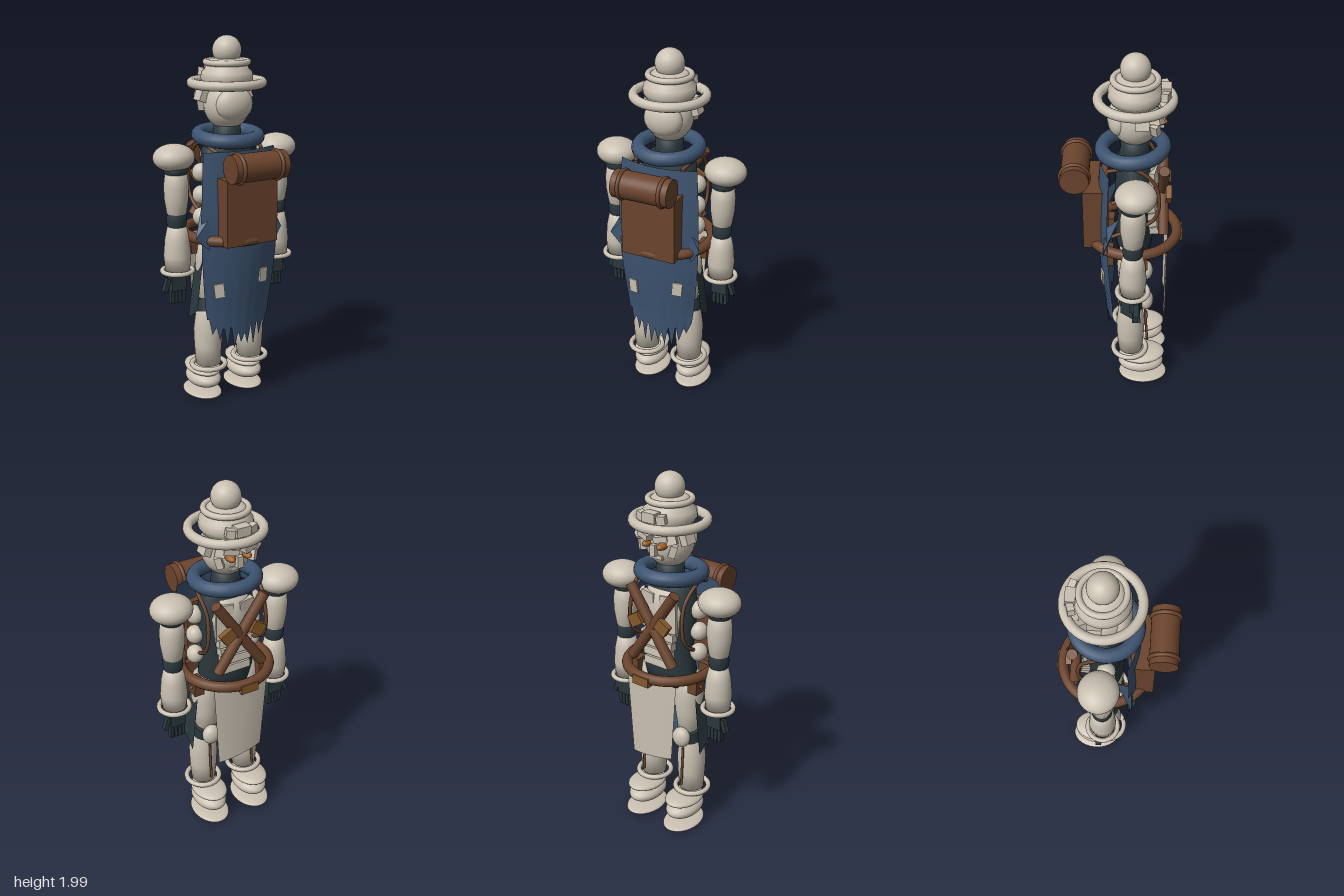
import * as THREE from 'three';
import { ConvexGeometry } from 'three/addons/geometries/ConvexGeometry.js';

const mat = (name, color) => {
  const m = new THREE.MeshStandardMaterial({ color, side: THREE.DoubleSide });
  m.name = name;
  return m;
};

export function createModel() {
  const root = new THREE.Group();
  const bone = mat('bone', 0xc9c0b1), blue = mat('clothBlue', 0x3d5471), dark = mat('darkCloth', 0x2b383d);
  const brown = mat('leather', 0x6b442d), tan = mat('buckleTan', 0x85592c), amber = mat('amber', 0xa0622a);
  const AZ = -0.065; // body axis

  const add = (name, geo, m, p = [0, 0, 0], r = [0, 0, 0], s = [1, 1, 1]) => {
    const mesh = new THREE.Mesh(geo, m);
    mesh.name = name;
    mesh.position.set(...p); mesh.rotation.set(...r); mesh.scale.set(...s);
    root.add(mesh);
    return mesh;
  };
  const ball = (name, m, p, s, r) => add(name, new THREE.SphereGeometry(1, 28, 18), m, p, r, s);
  const box = (name, m, p, s, r) => add(name, new THREE.BoxGeometry(...s), m, p, r);
  const ring = (name, m, p, R, t, tilt = 0) =>
    add(name, new THREE.TorusGeometry(R, t, 14, 40), m, p, [Math.PI / 2 + tilt, 0, 0]);
  const lathe = (name, m, p, pts, s) =>
    add(name, new THREE.LatheGeometry(pts.map(q => new THREE.Vector2(...q)), 28), m, p, [0, 0, 0], s);
  const rod = (name, m, a, b, r) => {
    const A = new THREE.Vector3(...a), B = new THREE.Vector3(...b);
    const mesh = add(name, new THREE.CylinderGeometry(r, r, A.distanceTo(B), 16), m, A.clone().add(B).multiplyScalar(0.5).toArray());
    mesh.quaternion.setFromUnitVectors(new THREE.Vector3(0, 1, 0), B.sub(A).normalize());
  };
  const tube = (name, m, pts, r) =>
    add(name, new THREE.TubeGeometry(new THREE.CatmullRomCurve3(pts.map(q => new THREE.Vector3(...q))), 24, r, 8), m);
  // Sheet bent by a rule f(u, v, column, lastRow) -> [x, y, z]
  const sheet = (name, m, cols, rows, f) => {
    const g = new THREE.PlaneGeometry(1, 1, cols, rows), p = g.attributes.position;
    for (let i = 0; i < p.count; i++) {
      const row = Math.floor(i / (cols + 1));
      p.setXYZ(i, ...f(p.getX(i) * 2, row / rows, i % (cols + 1), row === rows));
    }
    g.computeVertexNormals();
    return add(name, g, m);
  };

  // Hat
  ball('hatPompom', bone, [0, 1.925, AZ], [0.076, 0.076, 0.076]);
  ring('hatTopRing', bone, [0, 1.865, AZ], 0.11, 0.016);
  lathe('hatCrown', bone, [0, 0, AZ], [[0, 1.89], [0.08, 1.885], [0.108, 1.86], [0.115, 1.83], [0.134, 1.815], [0.137, 1.78], [0.122, 1.75], [0, 1.74]]);
  ring('hatBrim', bone, [0, 1.76, AZ], 0.185, 0.025);
  box('hatBadge', bone, [0, 1.81, -0.215], [0.075, 0.05, 0.05]);

  // Head and face
  ball('head', bone, [0, 1.65, AZ], [0.125, 0.135, 0.125]);
  ball('headBack', bone, [0, 1.655, 0.012], [0.105, 0.09, 0.062]);
  box('nose', bone, [0, 1.635, -0.195], [0.03, 0.06, 0.03]);
  box('mouthPlate', bone, [0, 1.595, -0.165], [0.08, 0.02, 0.04]);
  for (const s of [-1, 1]) {
    box('hatBadgeWing', bone, [s * 0.06, 1.805, -0.21], [0.045, 0.042, 0.035], [0, s * -0.3, s * 0.15]);
    box('brow', bone, [s * 0.05, 1.705, -0.2], [0.075, 0.03, 0.04], [0, s * -0.25, s * 0.2]);
    ball('eye', amber, [s * 0.045, 1.66, -0.185], [0.022, 0.018, 0.04]);
    box('fringeTuft', bone, [s * 0.09, 1.7, -0.17], [0.05, 0.05, 0.06], [0.3, s * -0.5, s * 0.4]);
    box('cheekTuft', bone, [s * 0.09, 1.64, -0.16], [0.035, 0.06, 0.05], [0, s * -0.6, s * -0.3]);
    box('sideTuft', bone, [s * 0.13, 1.705, -0.1], [0.04, 0.08, 0.07], [0, 0, s * 0.35]);
  }
  lathe('neck', dark, [0, 0, AZ], [[0.09, 1.4], [0.075, 1.48], [0.07, 1.56], [0, 1.57]]);
  ring('scarf', blue, [0, 1.485, AZ + 0.01], 0.156, 0.038, 0.06);

  // Torso with layered chest plates
  lathe('torso', dark, [0, 0, AZ], [[0, 0.84], [0.13, 0.86], [0.15, 0.95], [0.13, 1.08], [0.15, 1.28], [0.14, 1.42], [0.07, 1.47]], [1.05, 1, 0.68]);
  lathe('chest', bone, [0, 0, AZ - 0.035], [[0, 1.14], [0.11, 1.16], [0.125, 1.3], [0.1, 1.41], [0, 1.43]], [1, 1, 0.72]);
  for (const s of [-1, 1]) box('chestPlate', bone, [s * 0.06, 1.29, -0.155], [0.09, 0.2, 0.04], [0, s * -0.2, 0]);
  for (let i = 0; i < 4; i++) box('bellyBand', bone, [0, 1.16 - i * 0.05, -0.15 - i * 0.006], [0.19 - i * 0.012, 0.042, 0.045], [0.1, 0, 0]);

  // Crossed chest straps
  for (const s of [-1, 1]) {
    rod('crossStrap', brown, [s * 0.14, 1.43, -0.213], [s * -0.13, 1.03, -0.217], 0.028);
    box('strapBuckle', tan, [s * 0.085, 1.255, -0.24], [0.075, 0.065, 0.03], [0, 0, s * -0.55]);
    tube('shoulderStrap', brown, [[s * 0.13, 1.42, 0.07], [s * 0.17, 1.46, -0.06], [s * 0.165, 1.36, -0.17], [s * 0.17, 1.16, -0.17], [s * 0.15, 1.02, 0.06]], 0.01);
    for (const y of [1.305, 1.185, 1.065]) ball('sideBead', bone, [s * 0.17, y, -0.045], [0.045, 0.05, 0.048]);
    box('beltPouch', brown, [s * 0.195, 0.905, -0.1], [0.055, 0.09, 0.075]);
    ball('pouchStud', tan, [s * 0.225, 0.9, -0.1], [0.007, 0.01, 0.01]);
    box('rearPouch', brown, [s * 0.14, 0.9, 0.06], [0.07, 0.1, 0.035]);
  }

  // Belt
  add('belt', new THREE.TorusGeometry(0.235, 0.028, 14, 48), brown, [0, 0.967, -0.058], [Math.PI / 2, 0, 0]);
  box('beltBuckle', tan, [0, 0.955, -0.305], [0.1, 0.05, 0.035]);

  // Arms and gloves
  for (const s of [-1, 1]) {
    const x = s * 0.307, z = AZ + 0.005;
    ball('shoulderPad', bone, [s * 0.312, 1.393, -0.072], [0.111, 0.072, 0.105]);
    lathe('armBand', dark, [x, 0, z], [[0.05, 1.3], [0.064, 1.32], [0.066, 1.35], [0.05, 1.37]]);
    lathe('upperArm', bone, [x, 0, z], [[0.035, 1.09], [0.052, 1.1], [0.064, 1.18], [0.066, 1.25], [0.055, 1.33], [0, 1.34]]);
    lathe('elbow', dark, [x, 0, z], [[0.046, 1.02], [0.053, 1.05], [0.053, 1.08], [0.046, 1.11]]);
    lathe('forearm', bone, [x, 0, z], [[0, 0.785], [0.066, 0.79], [0.073, 0.87], [0.065, 0.96], [0.05, 1.03], [0, 1.04]]);
    ring('wristRing', bone, [x, 0.785, z], 0.081, 0.013);
    const hx = s * 0.305;
    box('palm', dark, [hx, 0.722, -0.07], [0.088, 0.095, 0.055]);
    for (let i = 0; i < 4; i++) box('finger', dark, [hx + (i - 1.5) * 0.022, 0.642, -0.075], [0.018, 0.085, 0.03]);
    box('thumb', dark, [hx + s * 0.06, 0.705, -0.08], [0.022, 0.075, 0.03], [0, 0, s * 0.3]);
  }

  // Legs and boots
  for (const s of [-1, 1]) {
    const x = s * 0.132;
    lathe('thigh', bone, [s * 0.115, 0, -0.055], [[0, 0.55], [0.055, 0.57], [0.072, 0.7], [0.08, 0.82], [0.065, 0.93], [0, 0.94]]);
    add('kneeWrap', new THREE.CylinderGeometry(0.064, 0.068, 0.07, 24), dark, [s * 0.125, 0.565, -0.06], [-0.25, 0, 0]);
    ball('kneePad', bone, [s * 0.125, 0.572, -0.135], [0.052, 0.058, 0.04]);
    lathe('shin', bone, [x, 0, -0.05], [[0, 0.215], [0.068, 0.22], [0.076, 0.33], [0.079, 0.42], [0.066, 0.52], [0.05, 0.55]]);
    rod('shinPeg', brown, [x, 0.27, -0.145], [x, 0.5, -0.13], 0.007);
    ring('ankleRing', bone, [x, 0.215, -0.045], 0.092, 0.014);
    ball('bootTop', bone, [x, 0.175, -0.115], [0.093, 0.03, 0.13], [0.06, 0, 0]);
    ball('bootMiddle', bone, [x, 0.115, -0.11], [0.09, 0.052, 0.13]);
    ball('bootSole', bone, [x, 0.027, -0.122], [0.1, 0.021, 0.138]);
    // Coat tails beside each thigh
    sheet('coatTail', dark, 4, 6, (u, v) => [s * (0.17 + 0.055 * v), 0.92 - 0.4 * v + 0.04 * u * v, -0.05 + u * (0.04 + 0.015 * v)]);
  }

  // Front cloth panel
  sheet('frontCloth', bone, 14, 12, (u, v) => [
    u * (0.16 - 0.03 * v), 0.93 - 0.47 * v - 0.02 * v * u, -0.246 + 0.016 * u * u]);

  // Ragged cape
  const capeZ = (x, v) => 0.11 + 0.025 * Math.sin(Math.PI * Math.min(1, v * 1.15)) - 0.025 * v * v - 1.1 * x * x;
  sheet('cape', blue, 18, 18, (u, v, col, last) => {
    const x = u * (0.212 + 0.025 * Math.sin(Math.PI * v) - 0.03 * v * v);
    const hem = 0.37 + 0.09 * u * u + 0.025 * Math.sin(col * 2.3);
    return [x, 1.43 + (hem - 1.43) * v + (last && col % 2 ? -0.035 : last ? 0.075 : 0), capeZ(x, v)];
  });
  [[-0.14, 0.685, 0.1], [0.125, 0.735, -0.08]].forEach(([x, y, r]) =>
    box('capePatch', bone, [x, y, capeZ(x, (1.43 - y) / 1.03) + 0.007], [0.055, 0.078, 0.009], [0, x * 2, r]));
  for (const [s, w] of [[-1, 0.277], [1, 0.245]]) {
    const pts = [[0.19, 1.17, 0.01], [w, 0.99, 0.092], [0.2, 0.92, 0.1], [0.18, 1.1, 0.085]];
    add('capeFold', new ConvexGeometry(pts.map(q => new THREE.Vector3(s * q[0], q[1], q[2]))), blue);
  }

  // Backpack and bedroll
  box('backpack', brown, [0, 1.125, 0.137], [0.3, 0.35, 0.125]);
  add('bedroll', new THREE.CylinderGeometry(0.074, 0.074, 0.31, 32), brown, [0, 1.37, 0.238], [0, 0, Math.PI / 2]);
  for (const s of [-1, 1])
    add('bedrollStrap', new THREE.TorusGeometry(0.073, 0.011, 10, 32), brown, [s * 0.112, 1.37, 0.238], [0, Math.PI / 2, 0]);

  return root;
}
